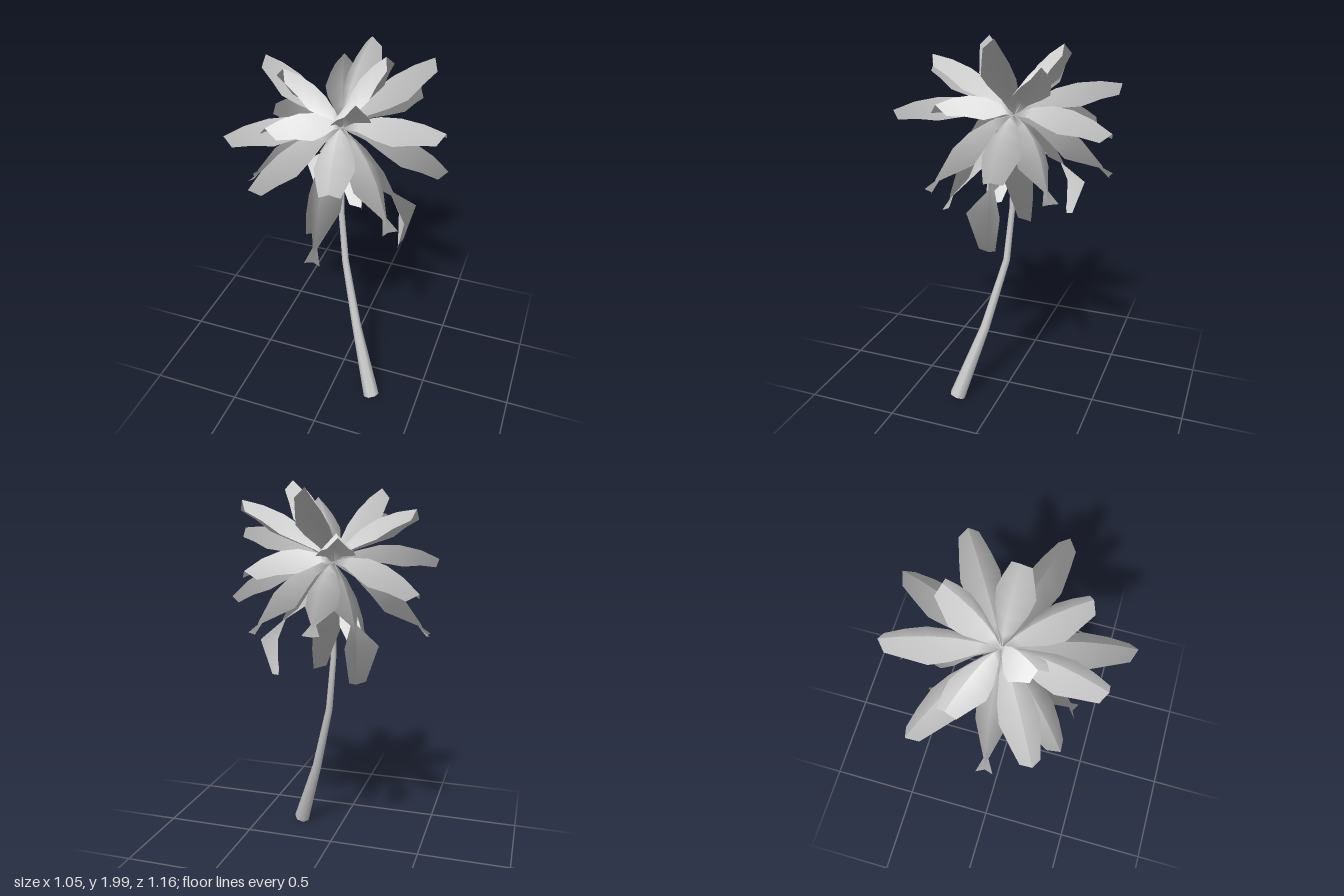
import * as THREE from 'three';

const CROWN = new THREE.Vector3(-0.02, 1.6, -0.02);
const UP = new THREE.Vector3(0, 1, 0);

// Blade outlines: [position along midrib, half width, drop of the edge below the midrib]
const BLADE = [
  [0, 0.006, 0.006], [0.2, 0.042, 0.045], [0.42, 0.08, 0.085],
  [0.62, 0.094, 0.1], [0.82, 0.072, 0.075], [0.98, 0.047, 0.05],
];
// Pinched just before a small flared tip
const PINCHED = [
  [0, 0.006, 0.006], [0.2, 0.042, 0.045], [0.42, 0.08, 0.085],
  [0.62, 0.08, 0.105], [0.9, 0.012, 0.015], [1, 0.042, -0.02],
];
// Pinched halfway, then opening into a hanging diamond
const HANGING = [
  [0, 0.006, 0.006], [0.2, 0.042, 0.045], [0.4, 0.07, 0.07],
  [0.58, 0.016, 0.01], [0.74, 0.09, -0.062], [0.98, 0.045, -0.012],
];

// Frond tips [x, y, z] and how far the midrib bows away from a straight line
const FRONDS = [
  { name: 'upperFrond', outline: BLADE, tips: [
    [0.2, 2.0, 0.0, 0.1], [0.04, 1.97, -0.29, 0.1], [-0.22, 1.96, 0.19, 0.1],
    [0.17, 1.91, 0.33, 0.12], [0.36, 1.91, -0.28, 0.12], [-0.46, 1.87, -0.13, 0.13],
    [-0.18, 1.82, 0.49, 0.14],
  ] },
  { name: 'middleFrond', outline: BLADE, tips: [
    [0.53, 1.75, 0.15, 0.13], [-0.19, 1.76, -0.53, 0.14], [0.23, 1.61, -0.58, 0.16],
    [-0.52, 1.6, 0.26, 0.16], [0.14, 1.61, 0.58, 0.16], [-0.52, 1.5, -0.33, 0.16],
    [0.51, 1.41, -0.1, 0.16], [-0.36, 1.39, 0.36, 0.16],
  ] },
  { name: 'droopingFrond', outline: PINCHED, tips: [
    [-0.5, 1.23, 0.03, 0.18], [-0.06, 1.31, -0.51, 0.18], [0.325, 1.26, 0.29, 0.2],
    [0.3, 1.26, -0.31, 0.2], [-0.03, 1.04, 0.365, 0.2],
  ] },
  { name: 'hangingFrond', outline: HANGING, tips: [
    [0.3, 0.97, 0.0, 0.23], [-0.21, 1.03, -0.26, 0.23],
  ] },
  { name: 'innerFrond', outline: BLADE, tips: [
    [-0.15, 1.05, 0.17, 0.14], [0.05, 1.06, -0.14, 0.12],
  ] },
];

// A leaf folded along its midrib; the halves share no vertices so the fold stays visible
function frondGeometry(tip, bow, outline) {
  const chord = tip.clone().sub(CROWN);
  const side = new THREE.Vector3().crossVectors(chord, UP).normalize();
  const lift = new THREE.Vector3().crossVectors(side, chord).normalize();
  const control = CROWN.clone().lerp(tip, 0.5).addScaledVector(lift, bow);
  const curve = new THREE.QuadraticBezierCurve3(CROWN, control, tip);
  const pos = [], index = [];
  for (const s of [1, -1]) {
    const start = pos.length / 3;
    outline.forEach(([t, width, drop], i) => {
      const p = curve.getPoint(t);
      const normal = new THREE.Vector3().crossVectors(side, curve.getTangent(t)).normalize();
      const edge = p.clone().addScaledVector(side, s * width).addScaledVector(normal, -drop);
      const mid = i === outline.length - 1 ? tip : p;
      pos.push(...mid.toArray(), ...edge.toArray());
      if (i) {
        const a = start + 2 * i - 2;
        if (s > 0) index.push(a, a + 1, a + 2, a + 1, a + 3, a + 2);
        else index.push(a, a + 2, a + 1, a + 1, a + 2, a + 3);
      }
    });
  }
  const geo = new THREE.BufferGeometry();
  geo.setAttribute('position', new THREE.Float32BufferAttribute(pos, 3));
  geo.setIndex(index);
  geo.computeVertexNormals();
  // Lean the normals away from the crown so the foliage shades like one round mass
  const n = geo.attributes.normal, v = new THREE.Vector3(), out = new THREE.Vector3();
  for (let i = 0; i < n.count; i++) {
    out.fromBufferAttribute(geo.attributes.position, i).sub(CROWN).normalize();
    v.fromBufferAttribute(n, i).multiplyScalar(0.5).add(out).normalize();
    n.setXYZ(i, v.x, v.y, v.z);
  }
  return geo;
}

// Leaning trunk: an open cylinder whose rows follow [x, y, z, radius]
function trunkGeometry() {
  const rows = [
    [0.245, 0.024, 0.22, 0.045], [0.11, 0.42, 0.1, 0.026], [0.01, 0.8, 0.01, 0.019],
    [-0.02, 1.1, -0.012, 0.016], [-0.02, 1.6, -0.02, 0.012],
  ];
  const last = rows.length - 1;
  const points = rows.map((r) => new THREE.Vector3(r[0], r[1], r[2]));
  const turns = rows.map((r, i) => {
    const dir = points[Math.min(i + 1, last)].clone().sub(points[Math.max(i - 1, 0)]).normalize();
    return new THREE.Quaternion().setFromUnitVectors(UP, dir);
  });
  const geo = new THREE.CylinderGeometry(1, 1, 1, 7, last, true);
  const p = geo.attributes.position, n = geo.attributes.normal, v = new THREE.Vector3();
  for (let i = 0; i < p.count; i++) {
    const k = Math.round((p.getY(i) + 0.5) * last);
    v.fromBufferAttribute(n, i).applyQuaternion(turns[k]);
    n.setXYZ(i, v.x, v.y, v.z);
    v.multiplyScalar(rows[k][3]).add(points[k]);
    p.setXYZ(i, v.x, v.y, v.z);
  }
  return geo;
}

export function createModel() {
  const model = new THREE.Group();
  model.name = 'palmTree';
  const material = new THREE.MeshStandardMaterial({ color: 0xcccccc, side: THREE.DoubleSide });

  const trunk = new THREE.Mesh(trunkGeometry(), material);
  trunk.name = 'trunk';
  model.add(trunk);

  const crown = new THREE.Group();
  crown.name = 'crown';
  for (const { name, outline, tips } of FRONDS) {
    tips.forEach(([x, y, z, bow], i) => {
      const frond = new THREE.Mesh(frondGeometry(new THREE.Vector3(x, y, z), bow, outline), material);
      frond.name = `${name}${i + 1}`;
      crown.add(frond);
    });
  }
  model.add(crown);
  return model;
}
